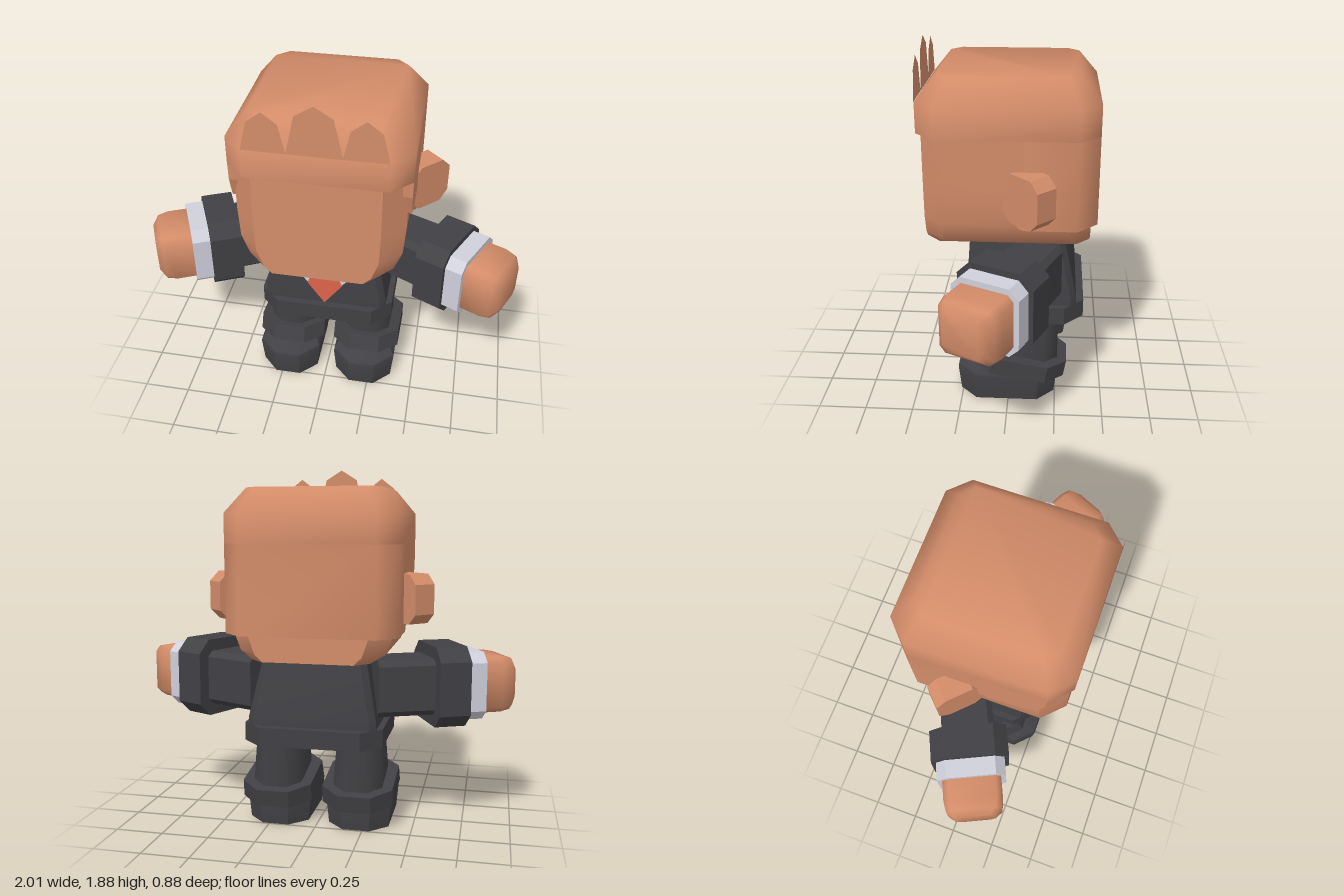
import * as THREE from 'three';
import { toCreasedNormals } from 'three/addons/utils/BufferGeometryUtils.js';

const mat = (name, color, side = THREE.FrontSide) => {
  const m = new THREE.MeshStandardMaterial({ color, side });
  m.name = name;
  return m;
};

// Stack of chamfered rectangles: each ring is [y, halfWidth, zBack, zFront, chamfer]
function loft(rings, crease) {
  const pos = [], idx = [], n = 8;
  for (const [y, w, b, f, c] of rings) {
    const plan = [[w, b + c], [w, f - c], [w - c, f], [c - w, f],
      [-w, f - c], [-w, b + c], [c - w, b], [w - c, b]];
    for (const [x, z] of plan) pos.push(x, y, z);
  }
  for (let i = 0; i < rings.length - 1; i++) {
    for (let j = 0; j < n; j++) {
      const a = i * n + j, b = i * n + (j + 1) % n;
      idx.push(a, a + n, b, b, a + n, b + n);
    }
  }
  const top = (rings.length - 1) * n;
  for (let j = 1; j < n - 1; j++) idx.push(0, j, j + 1, top, top + j + 1, top + j);
  const g = new THREE.BufferGeometry();
  g.setAttribute('position', new THREE.Float32BufferAttribute(pos, 3));
  g.setIndex(idx);
  return toCreasedNormals(g, crease);
}

const shapeOf = pts => new THREE.Shape(pts.map(p => new THREE.Vector2(...p)));
const SHARP = 0.5, SOFT = 1.05;

export function createModel() {
  const model = new THREE.Group();
  model.name = 'figure';
  const skin = mat('skin', 0xd38c69);
  const skinThin = skin.clone();
  skinThin.side = THREE.DoubleSide;
  const suit = mat('suit', 0x414145);
  const shirt = mat('shirt', 0xd0d0dc);
  const tie = mat('tie', 0xd9624a);

  const add = (name, geo, material, parent = model) => {
    const m = new THREE.Mesh(geo, material);
    m.name = name;
    parent.add(m);
    return m;
  };

  // Head with a rounded jaw
  add('head', loft([
    [0.9, 0.3, -0.41, 0.42, 0.07],
    [0.94, 0.37, -0.41, 0.42, 0.1],
    [1.04, 0.41, -0.41, 0.42, 0.105],
    [1.2, 0.42, -0.41, 0.42, 0.11],
    [1.5, 0.42, -0.41, 0.42, 0.11],
  ], 0.7), skin);

  // Hair: crown with fringe, back block, temple panels and flat spikes
  add('hairCrown', loft([
    [1.48, 0.44, -0.44, 0.44, 0.1],
    [1.63, 0.44, -0.44, 0.44, 0.1],
    [1.755, 0.34, -0.34, 0.34, 0.06],
  ], SOFT), skin);
  add('hairBack', loft([
    [1.03, 0.44, -0.44, 0.02, 0.1],
    [1.48, 0.44, -0.44, 0.02, 0.1],
  ], SOFT), skin);
  const temple = shapeOf([[-0.34, 1.5], [-0.335, 1.39], [-0.3, 1.28], [-0.15, 1.22],
    [0.09, 1.22], [0.12, 1.5]]);
  for (const s of [1, -1]) {
    const g = new THREE.ExtrudeGeometry(temple, { depth: 0.07, bevelEnabled: false });
    g.rotateY(Math.PI / 2);
    g.translate(s > 0 ? 0.37 : -0.44, 0, 0);
    add('hairTemple', g, skin);
  }
  const spike = (x, w, peak) => add('hairSpike', new THREE.ShapeGeometry(shapeOf([
    [x - w, 1.63], [x + w, 1.63], [x + w * 0.68, peak - 0.055], [x, peak],
    [x - w * 0.68, peak - 0.055]])).translate(0, 0, 0.442), skinThin);
  spike(0, 0.13, 1.88);
  spike(-0.233, 0.105, 1.83);
  spike(0.233, 0.105, 1.83);

  // Ears: octagonal plates turned half forward
  for (const s of [1, -1]) {
    const g = loft([
      [-0.06, 0.125, -0.12, 0.12, 0.05],
      [0.06, 0.125, -0.12, 0.12, 0.05],
    ], SHARP);
    g.rotateZ(-s * Math.PI / 2);
    const ear = add('ear', g, skin);
    ear.position.set(s * 0.463, 1.205, -0.107);
    ear.rotation.y = -s * Math.PI / 4;
  }

  // Jacket body and hem
  add('jacket', loft([
    [0.55, 0.33, -0.35, 0.22, 0.03],
    [0.6, 0.33, -0.35, 0.22, 0.03],
    [0.92, 0.265, -0.28, 0.2, 0.03],
  ], SHARP), suit);
  add('jacketHem', loft([
    [0.465, 0.36, -0.39, 0.255, 0.1],
    [0.56, 0.36, -0.39, 0.255, 0.1],
  ], SHARP), suit);

  // Thin chest plates that follow the slope of the jacket front
  const plate = (name, pts, lift, material) => {
    const g = new THREE.ShapeGeometry(shapeOf(pts));
    const p = g.attributes.position;
    for (let i = 0; i < p.count; i++) {
      p.setZ(i, 0.22 - (p.getY(i) - 0.6) * 0.0625 + lift);
    }
    g.computeVertexNormals();
    add(name, g, material);
  };
  plate('shirtFront', [[0, 0.565], [0.26, 0.91], [-0.26, 0.91]], 0.004, shirt);
  plate('necktie', [[0, 0.565], [0.095, 0.69], [0.032, 0.83], [0.062, 0.87], [0.04, 0.91],
    [-0.04, 0.91], [-0.062, 0.87], [-0.032, 0.83], [-0.095, 0.69]], 0.008, tie);
  for (const s of [1, -1]) {
    const pts = [[0, 0.565], [s * 0.26, 0.69], [s * 0.26, 0.905]];
    plate('lapel', s > 0 ? pts : pts.reverse(), 0.006, suit);
  }

  for (const s of [1, -1]) {
    // Arm: sections along the arm axis, swung forward
    const arm = new THREE.Group();
    arm.name = s > 0 ? 'leftArm' : 'rightArm';
    arm.position.set(s * 0.625, 0.755, 0.006);
    arm.rotation.y = -s * 0.436;
    model.add(arm);
    const section = (name, rings, crease, material) => add(name,
      loft(rings.map(([t, h, w, c]) => [t, h, -w, w, c]), crease)
        .rotateZ(-s * Math.PI / 2), material, arm);
    section('sleeve', [[-0.38, 0.145, 0.13, 0.03], [-0.06, 0.145, 0.14, 0.03]], SHARP, suit);
    section('sleeveCuff', [[-0.083, 0.207, 0.202, 0.07], [0.083, 0.207, 0.202, 0.07]], SHARP, suit);
    section('shirtCuff', [[0.07, 0.175, 0.178, 0.05], [0.177, 0.175, 0.178, 0.05]], SHARP, shirt);
    section('hand', [[0.16, 0.145, 0.152, 0.03], [0.28, 0.145, 0.152, 0.03],
      [0.335, 0.135, 0.143, 0.03], [0.368, 0.1, 0.105, 0.03]], SOFT, skin);

    // Leg: trouser, tilted turn-up and shoe
    const leg = new THREE.Group();
    leg.name = s > 0 ? 'leftLeg' : 'rightLeg';
    leg.position.x = s * 0.216;
    model.add(leg);
    add('trouser', loft([
      [0.16, 0.135, -0.26, 0.125, 0.07],
      [0.48, 0.108, -0.26, 0.125, 0.065],
    ], SOFT), suit, leg);
    const turnUp = add('turnUp', loft([
      [-0.046, 0.187, -0.245, 0.255, 0.1],
      [0.046, 0.185, -0.245, 0.235, 0.1],
    ], SHARP), suit, leg);
    turnUp.position.set(0, 0.198, -0.06);
    turnUp.rotation.x = -0.17;
    add('shoe', loft([
      [0, 0.16, -0.245, 0.26, 0.09],
      [0.14, 0.173, -0.26, 0.275, 0.1],
      [0.16, 0.17, -0.255, 0.27, 0.1],
      [0.2, 0.14, -0.2, 0.2, 0.08],
    ], SHARP), suit, leg);
  }
  return model;
}
